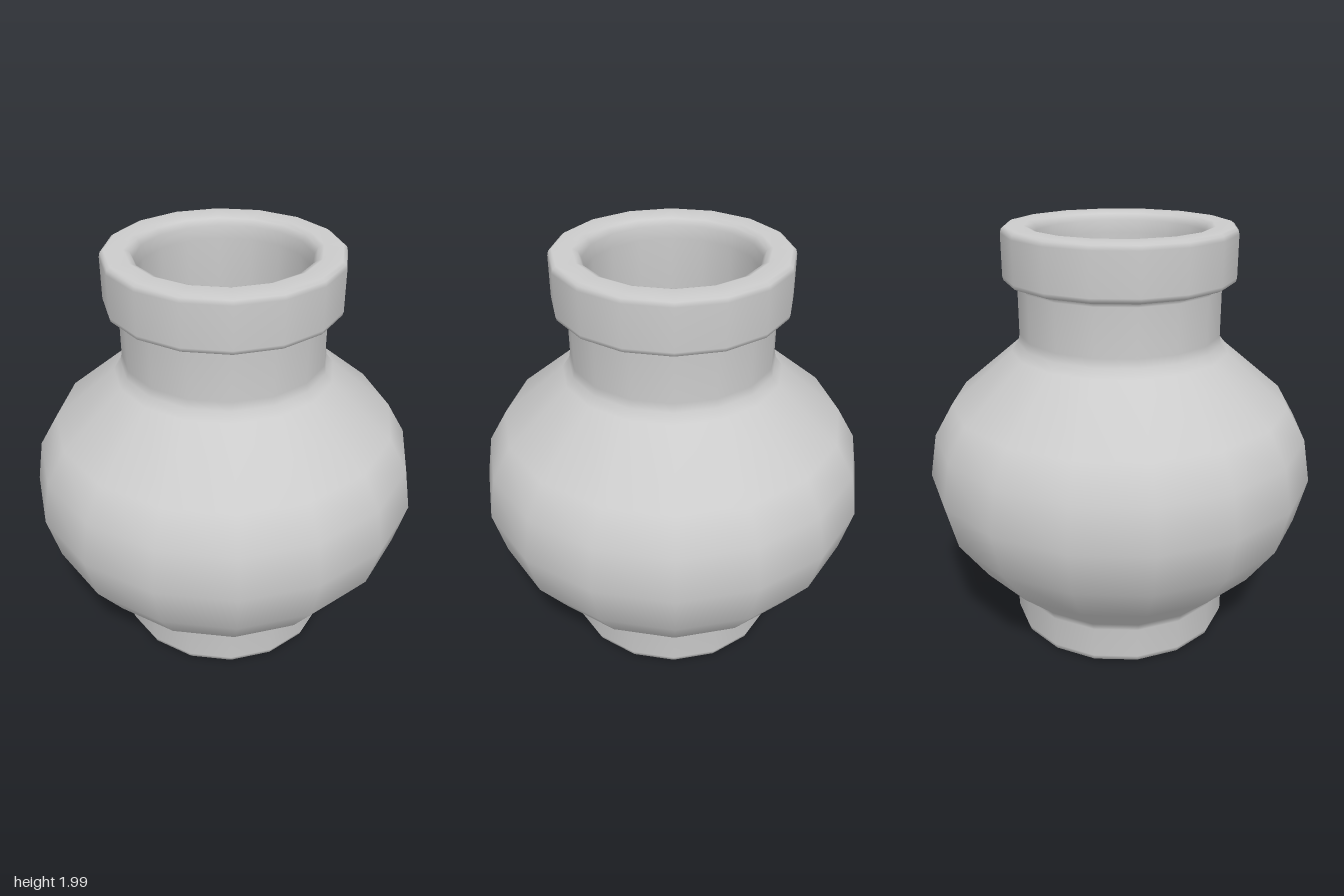
import * as THREE from 'three';

const SIDES = 16;

export function createModel() {
  const group = new THREE.Group();
  group.name = 'vase';
  const material = new THREE.MeshStandardMaterial({ color: 0xcccccc });

  // Closed profile [radius, height]: up the outside, over the lip, down the inside
  const foot = [[0, 0.01], [0.46, 0.01], [0.5, 0.01], [0.525, 0.018], [0.535, 0.045], [0.535, 0.195]];
  const belly = [
    [0.55, 0.235], [0.735, 0.41], [0.87, 0.605], [0.925, 0.825],
    [0.89, 1.03], [0.8, 1.185], [0.51, 1.43],
  ];
  const neck = [[0.478, 1.47], [0.47, 1.51], [0.47, 1.73], [0.475, 1.748]];
  const rim = [
    [0.51, 1.753], [0.53, 1.762], [0.535, 1.78], [0.535, 1.97],
    [0.53, 1.99], [0.515, 2], [0.43, 2], [0.405, 1.99], [0.39, 1.96],
  ];
  const inside = [
    [0.385, 1.9], [0.385, 1.48], [0.43, 1.38], [0.71, 1.13], [0.79, 1.0],
    [0.82, 0.825], [0.77, 0.65], [0.65, 0.48], [0.46, 0.31], [0.25, 0.22], [0, 0.2],
  ];
  const profile = [...foot, ...belly, ...neck, ...rim, ...inside]
    .map(([r, y]) => new THREE.Vector2(r, y));

  const vessel = new THREE.Mesh(new THREE.LatheGeometry(profile, SIDES), material);
  vessel.name = 'vessel';
  group.add(vessel);
  return group;
}
